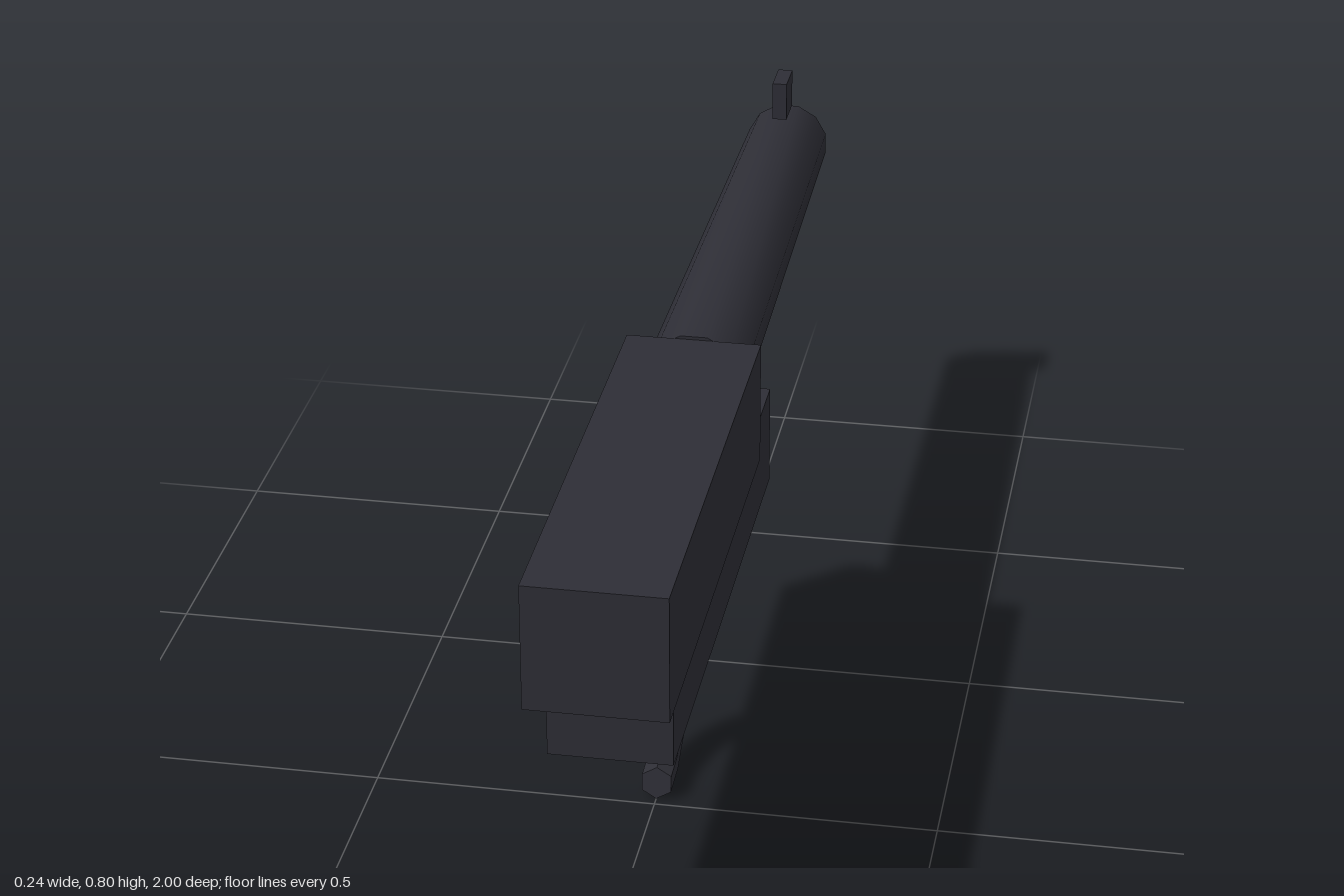
import * as THREE from 'three';
import { mergeGeometries, toCreasedNormals } from 'three/addons/utils/BufferGeometryUtils.js';

export function createModel() {
  const model = new THREE.Group();
  const metal = new THREE.MeshStandardMaterial({ color: 0x2e2e36 });
  metal.name = 'darkMetal';

  const add = (name, geometry) => {
    const mesh = new THREE.Mesh(geometry, metal);
    mesh.name = name;
    model.add(mesh);
    return mesh;
  };

  // Box given by half width and its y and z ranges
  const block = (name, halfWidth, y0, y1, z0, z1) =>
    add(name, new THREE.BoxGeometry(halfWidth * 2, y1 - y0, z1 - z0))
      .position.set(0, (y0 + y1) / 2, (z0 + z1) / 2);

  block('upperBody', 0.12, 0.487, 0.714, 0.095, 1);
  block('lowerBody', 0.105, 0.335, 0.522, -0.113, 0.887);
  block('sightPost', 0.014, 0.725, 0.8, -0.96, -0.885);

  // Tapered tube with a deep bore, its end facing -z
  const profile = [[0, -0.095], [0.093, -0.095], [0.08, 1], [0.044, 1], [0.044, 0.1], [0, 0.1]]
    .map(([r, y]) => new THREE.Vector2(r, y));
  const tube = new THREE.LatheGeometry(profile, 12, Math.PI / 12);
  tube.rotateX(-Math.PI / 2);
  add('taperedTube', toCreasedNormals(tube, 0.7)).position.y = 0.63;

  // Six-sided curved hook with capped ends, bulging toward -z
  const R = 0.153, r = 0.03, arc = 3.42;
  const hook = new THREE.TorusGeometry(R, r, 6, 8, arc);
  hook.rotateZ(-arc / 2);
  const caps = [-1, 1].map((side) => {
    const cap = new THREE.CircleGeometry(r, 6);
    cap.rotateX(-side * Math.PI / 2);
    cap.translate(R, 0, 0);
    cap.rotateZ(side * arc / 2);
    return cap;
  });
  const curved = mergeGeometries([hook, ...caps]).toNonIndexed();
  curved.rotateY(Math.PI / 2);
  curved.computeVertexNormals();
  add('curvedHook', curved).position.set(0, 0.183, 0.457);

  return model;
}
